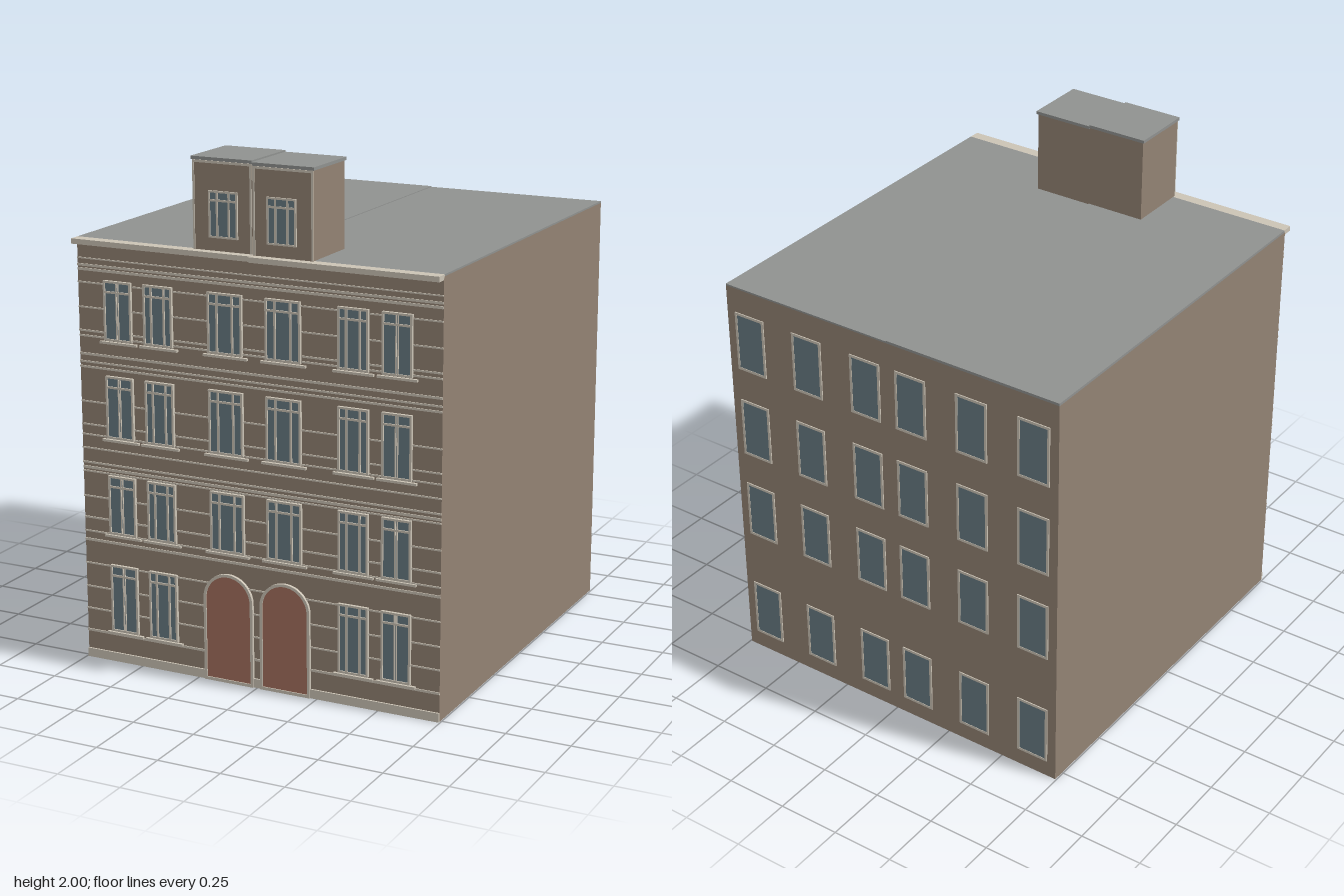
import * as THREE from 'three';

const mat = (name, color, extra = {}) => new THREE.MeshStandardMaterial({ name, color, ...extra });

export function createModel() {
  const model = new THREE.Group();
  model.name = 'townHouse';
  const wall = mat('wallBrown', 0x928273);
  const trim = mat('trimCream', 0xcbc3b5);
  const glass = mat('glassBlue', 0x687a82);
  const roof = mat('roofGrey', 0x8f918f);
  const wood = mat('doorRed', 0xa36f5d);

  const add = (parent, name, geometry, material) => {
    const mesh = new THREE.Mesh(geometry, material);
    mesh.name = name;
    parent.add(mesh);
    return mesh;
  };
  // Box given by its minimum and maximum corners
  const box = (parent, name, material, x0, x1, y0, y1, z0, z1) => {
    const mesh = add(parent, name, new THREE.BoxGeometry(x1 - x0, y1 - y0, z1 - z0), material);
    mesh.position.set((x0 + x1) / 2, (y0 + y1) / 2, (z0 + z1) / 2);
    return mesh;
  };
  const rect = (Type, x0, x1, y0, y1) => {
    const p = new Type();
    p.moveTo(x0, y0).lineTo(x1, y0).lineTo(x1, y1).lineTo(x0, y1).closePath();
    return p;
  };
  const extrude = (shape, depth) =>
    new THREE.ExtrudeGeometry(shape, { depth, bevelEnabled: false, curveSegments: 16 });

  // Window lying on z = 0: glass plate and a frame pierced by its panes
  function makeWindow(w, h, mullions, transom, border, depth) {
    const g = new THREE.Group();
    g.name = 'window';
    const frame = rect(THREE.Shape, -w / 2, w / 2, 0, h);
    const xs = [-w / 2 + border - 0.004, ...mullions, w / 2 - border + 0.004];
    const ys = transom ? [border - 0.004, h - transom, h - border + 0.004] : [border - 0.004, h - border + 0.004];
    for (let i = 0; i < xs.length - 1; i++)
      for (let j = 0; j < ys.length - 1; j++)
        frame.holes.push(rect(THREE.Path, xs[i] + 0.004, xs[i + 1] - 0.004, ys[j] + 0.004, ys[j + 1] - 0.004));
    add(g, 'windowFrame', extrude(frame, depth), trim);
    box(g, 'windowGlass', glass, -w / 2 + 0.002, w / 2 - 0.002, 0.002, h - 0.002, 0, depth * 0.6);
    return g;
  }

  // Main block with its two flat roof halves
  const front = 0.76, back = -0.796;
  box(model, 'mainWalls', wall, -0.745, 0.745, 0, 1.65, back, front);
  box(model, 'roofLeftHalf', roof, -0.745, 0, 1.65, 1.66, back, 0.755);
  box(model, 'roofRightHalf', roof, 0, 0.745, 1.65, 1.657, back, 0.755);
  box(model, 'cornice', trim, -0.745, 0, 1.64, 1.66, 0.755, 0.8);
  box(model, 'cornice', trim, 0, 0.745, 1.637, 1.657, 0.755, 0.8);

  // Horizontal facade bands: [height, thickness]
  [[0.11, 0.009], [0.2, 0.006], [0.29, 0.006], [0.385, 0.006], [0.48, 0.01], [0.515, 0.006],
    [0.57, 0.007], [0.655, 0.006], [0.755, 0.006], [0.77, 0.01], [0.79, 0.007], [0.847, 0.006],
    [0.9, 0.006], [0.94, 0.006], [1.03, 0.006], [1.165, 0.008], [1.185, 0.007], [1.215, 0.009],
    [1.285, 0.007], [1.305, 0.007], [1.395, 0.006], [1.49, 0.006], [1.54, 0.01], [1.556, 0.009],
    [1.582, 0.005]].forEach(([y, t]) =>
    box(model, 'facadeBand', trim, -0.745, 0.745, y - t / 2, y + t / 2, front - 0.002, front + 0.004));

  // Plinth, interrupted by the doors
  [[-0.745, -0.215], [-0.02, 0.02], [0.215, 0.745]].forEach(([a, b]) =>
    box(model, 'plinth', trim, a, b, 0, 0.035, front - 0.002, front + 0.007));

  // Front windows with sills
  const rows = [[0.125, 0.394], [0.518, 0.75], [0.897, 1.14], [1.277, 1.506]];
  const columns = [[0.119, 0.143], [0.4, 0.122], [0.572, 0.118]];
  rows.forEach(([y0, y1], r) => columns.forEach(([x, w], c) => {
    if (r === 0 && c === 0) return; // the doors stand here
    for (const side of [-1, 1]) {
      const win = makeWindow(w, y1 - y0, c === 2 ? [-0.002, 0.002] : [-w * 0.22, w * 0.22], 0.043, 0.008, 0.012);
      win.position.set(side * x, y0, front);
      model.add(win);
      const s = w / 2 + 0.02;
      box(model, 'windowSill', trim, side * x - s, side * x + s, y0 - 0.013, y0 - 0.004, front, front + 0.012);
    }
  }));

  // Arched doors
  const arch = (Type, r, y0, spring) => {
    const p = new Type();
    p.moveTo(-r, y0).lineTo(r, y0).lineTo(r, spring).absarc(0, spring, r, 0, Math.PI, false).closePath();
    return p;
  };
  for (const x of [-0.119, 0.119]) {
    const door = new THREE.Group();
    door.name = 'archedDoor';
    door.position.set(x, 0, front);
    const surround = arch(THREE.Shape, 0.104, 0, 0.328);
    surround.holes.push(arch(THREE.Path, 0.093, 0.012, 0.328));
    add(door, 'doorSurround', extrude(surround, 0.012), trim);
    add(door, 'doorLeaf', extrude(arch(THREE.Shape, 0.096, 0.01, 0.328), 0.008), wood);
    model.add(door);
  }

  // Rooftop dormers, one per half
  for (const side of [-1, 1]) {
    const dormer = new THREE.Group();
    dormer.name = 'dormer';
    const top = side < 0 ? 2 : 1.994;
    const span = (a, b) => (side < 0 ? [-b, -a] : [a, b]);
    box(dormer, 'dormerWalls', wall, ...span(0, 0.242), 1.65, top - 0.012, 0.515, 0.765);
    box(dormer, 'dormerRoof', roof, ...span(0, 0.248), top - 0.012, top, 0.51, 0.77);
    box(dormer, 'dormerEdge', trim, ...span(0.236, 0.243), 1.66, top - 0.012, 0.764, 0.768);
    box(dormer, 'dormerEdge', trim, ...span(0.002, 0.01), 1.66, top - 0.012, 0.764, 0.768);
    box(dormer, 'dormerEave', trim, ...span(0.002, 0.243), top - 0.022, top - 0.013, 0.764, 0.768);
    const win = makeWindow(0.118, 0.172, [-0.024, 0.024], 0.035, 0.007, 0.007);
    win.position.set(side * 0.118, side < 0 ? 1.708 : 1.703, 0.765);
    dormer.add(win);
    model.add(dormer);
  }

  // Plain windows of the rear wall
  for (const [y0, y1] of [[0.07, 0.315], [0.55, 0.79], [0.925, 1.17], [1.305, 1.55]])
    for (const x of [-0.64, -0.373, -0.105, 0.1, 0.37, 0.64]) {
      const win = makeWindow(0.136, y1 - y0, [], 0, 0.01, 0.004);
      win.rotation.y = Math.PI;
      win.position.set(x, y0, back);
      model.add(win);
    }

  return model;
}
